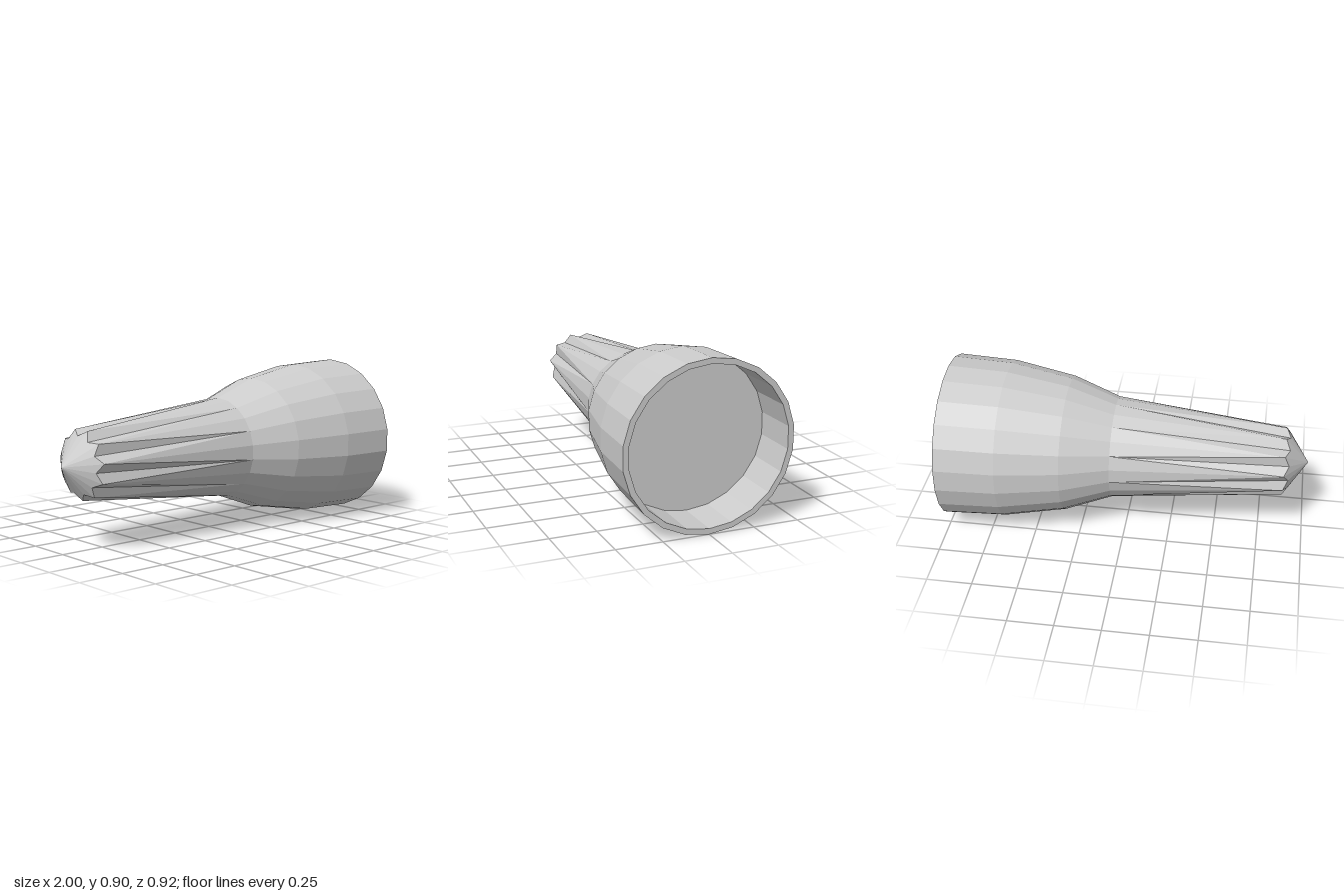
import * as THREE from 'three';

const SIDES = 22;
const CENTRE_Y = 0.45;
const WIDEN = 1.03; // sections are slightly wider in z than in y

// One cross-section around the x axis. Odd corners may sit deeper (flutes).
function ring(x, radius, valleyX = x, valleyRadius = radius) {
  const points = [];
  for (let i = 0; i < SIDES; i++) {
    const a = (i / SIDES) * Math.PI * 2;
    const odd = i % 2 === 1;
    const r = odd ? valleyRadius : radius;
    points.push([odd ? valleyX : x, CENTRE_Y - r * Math.cos(a), r * WIDEN * Math.sin(a)]);
  }
  points.isPoint = radius === 0;
  return points;
}

// Skin a run of cross-sections; diagonals start at the even (ridge) corners.
function loft(name, rings, material) {
  const pos = [];
  const tri = (...corners) => corners.forEach((c) => pos.push(...c));
  for (let k = 0; k < rings.length - 1; k++) {
    const A = rings[k], B = rings[k + 1];
    for (let i = 0; i < SIDES; i++) {
      const j = (i + 1) % SIDES;
      if (A.isPoint) tri(A[i], B[i], B[j]);
      else if (B.isPoint) tri(A[i], B[i], A[j]);
      else if (i % 2 === 0) {
        tri(A[i], B[i], B[j]);
        tri(A[i], B[j], A[j]);
      } else {
        tri(A[i], B[i], A[j]);
        tri(B[i], B[j], A[j]);
      }
    }
  }
  const geometry = new THREE.BufferGeometry();
  geometry.setAttribute('position', new THREE.Float32BufferAttribute(pos, 3));
  geometry.computeVertexNormals();
  const mesh = new THREE.Mesh(geometry, material);
  mesh.name = name;
  return mesh;
}

export function createModel() {
  const group = new THREE.Group();
  group.name = 'flutedNozzle';
  const grey = new THREE.MeshStandardMaterial({ color: 0xcccccc, flatShading: true });

  const tip = ring(-1, 0);
  const fluted = ring(-0.87, 0.188, -0.895, 0.152);
  const neck = ring(0.07, 0.279);
  const rimOuter = ring(1, 0.45);
  const rimInner = ring(1, 0.42);
  const floorEdge = ring(0.73, 0.42);

  group.add(
    loft('noseCone', [tip, fluted], grey),
    loft('flutedShaft', [fluted, neck], grey),
    loft('flaredBody', [neck, ring(0.33, 0.374), ring(0.67, 0.437), rimOuter], grey),
    loft('rim', [rimOuter, rimInner], grey),
    // Open cup at the wide end
    loft('socketWall', [rimInner, floorEdge], grey),
    loft('socketFloor', [floorEdge, ring(0.73, 0)], grey),
  );
  return group;
}
